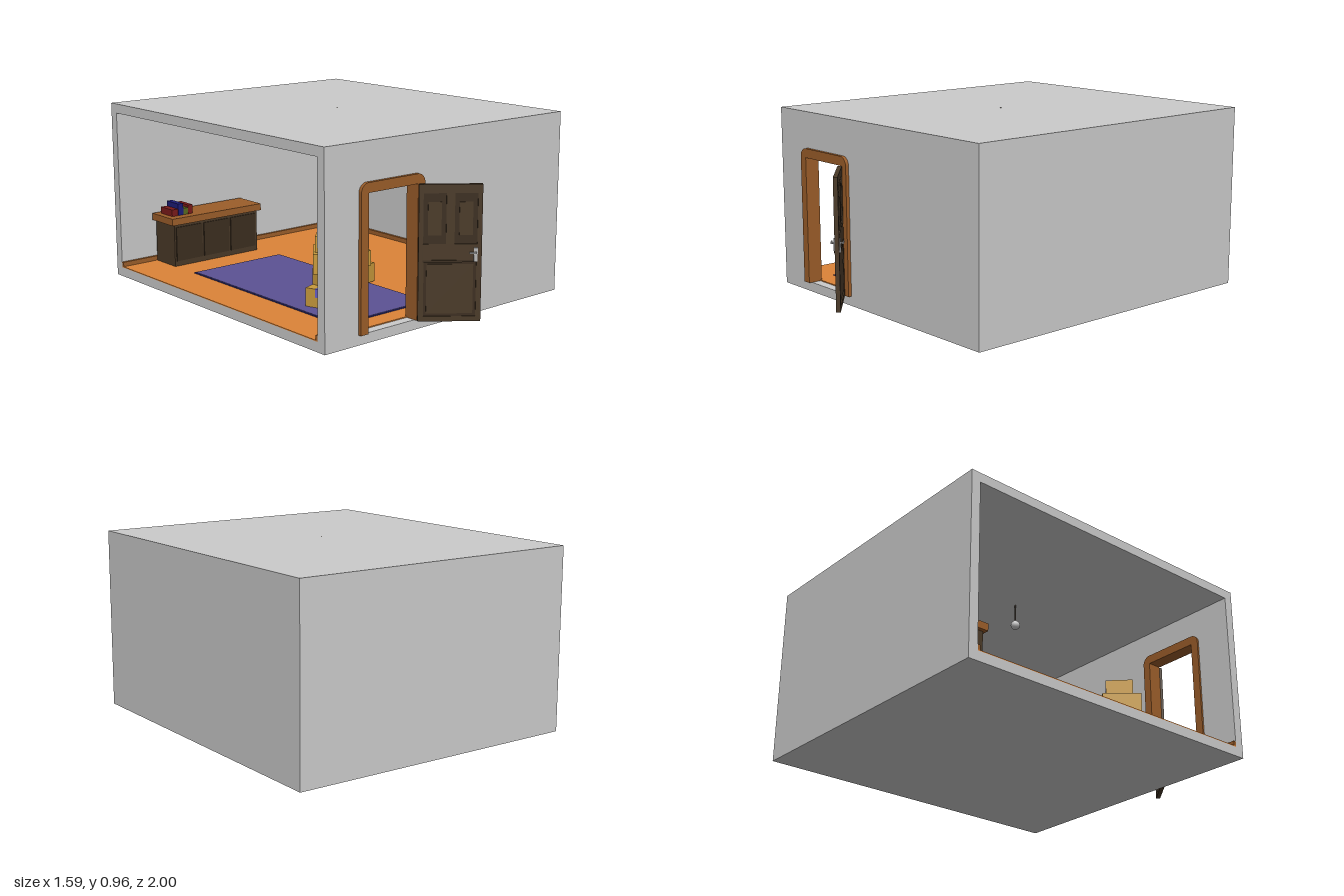
import * as THREE from 'three';

const mat = (color) => new THREE.MeshStandardMaterial({ color });
const M = {
  wall: mat(0xcccccc), floor: mat(0xdc8438), wood: mat(0x9c5e2a), door: mat(0x4a3a28), dark: mat(0x3c2e20),
  rug: mat(0x5c5294), rugEdge: mat(0x2c2a78), card: mat(0xc89a3c), tape: mat(0x6660cc), metal: mat(0xb8b8b8),
  red: mat(0x7a1a1a), blue: mat(0x1c1c78), green: mat(0x5a6a20),
};

// Box given by its minimum and maximum corners
function block(parent, name, material, [x0, y0, z0], [x1, y1, z1]) {
  const mesh = new THREE.Mesh(new THREE.BoxGeometry(x1 - x0, y1 - y0, z1 - z0), material);
  mesh.position.set((x0 + x1) / 2, (y0 + y1) / 2, (z0 + z1) / 2);
  mesh.name = name;
  parent.add(mesh);
  return mesh;
}

function rect(path, x0, y0, x1, y1) {
  path.moveTo(x0, y0);
  path.lineTo(x1, y0);
  path.lineTo(x1, y1);
  path.lineTo(x0, y1);
  path.closePath();
  return path;
}

function extrude(parent, name, material, shape, z0, depth) {
  const mesh = new THREE.Mesh(new THREE.ExtrudeGeometry(shape, { depth, bevelEnabled: false, curveSegments: 6 }), material);
  mesh.position.z = z0;
  mesh.name = name;
  parent.add(mesh);
}

// Cardboard box with a tape strip over the top and partly down two sides
function carton(parent, [x, y, z], [w, h, d], yaw, acrossX = false) {
  const g = new THREE.Group();
  g.name = 'cardboardBox';
  g.position.set(x, y, z);
  g.rotation.y = yaw;
  block(g, 'carton', M.card, [-w / 2, 0, -d / 2], [w / 2, h, d / 2]);
  const e = 0.0015, t = 0.019, drop = h * 0.55;
  if (acrossX) block(g, 'tape', M.tape, [-w / 2 - e, drop, -t], [w / 2 + e, h + e, t]);
  else block(g, 'tape', M.tape, [-t, drop, -d / 2 - e], [t, h + e, d / 2 + e]);
  parent.add(g);
}

function buildRoom() {
  const g = new THREE.Group();
  g.name = 'room';
  const X = 0.795, H = 0.955, T = 0.05, B = -1, F = 0.78;
  block(g, 'base', M.wall, [-X, 0, B], [X, T, F]);
  block(g, 'roof', M.wall, [-X, H - T, B], [X, H, F]);
  block(g, 'backWall', M.wall, [-X, T, B], [X, H - T, B + T]);
  block(g, 'leftWall', M.wall, [X - T, T, B + T], [X, H - T, F - T]);
  // front wall with a doorway cut down to the floor
  const wall = new THREE.Shape();
  [[-X, T], [-0.57, T], [-0.57, 0.74], [-0.21, 0.74], [-0.21, T], [X, T], [X, H - T], [-X, H - T]]
    .forEach(([x, y], i) => (i ? wall.lineTo(x, y) : wall.moveTo(x, y)));
  extrude(g, 'frontWall', M.wall, wall, F - T, T);
  block(g, 'floor', M.floor, [-X, T, B + T], [X - T, T + 0.005, F - T]);

  // skirting boards
  const s0 = T + 0.005, s1 = 0.08, w = 0.015;
  block(g, 'skirting', M.wood, [-X, s0, F - T - w], [-0.59, s1, F - T]);
  block(g, 'skirting', M.wood, [-0.19, s0, F - T - w], [X - T, s1, F - T]);
  block(g, 'skirting', M.wood, [-X, s0, B + T], [X - T, s1, B + T + w]);
  block(g, 'skirting', M.wood, [X - T - w, s0, B + T + w], [X - T, s1, F - T - w]);

  // rug
  block(g, 'rugBorder', M.rugEdge, [-0.575, s0, -0.575], [0.005, s0 + 0.004, 0.625]);
  block(g, 'rug', M.rug, [-0.568, s0, -0.568], [-0.002, s0 + 0.006, 0.618]);
  return g;
}

// Door surround with rounded outer top corners
function buildFrame(parent) {
  const l = -0.592, r = -0.192, b = 0.05, t = 0.766, R = 0.045, k = 0.045;
  const s = new THREE.Shape();
  s.moveTo(l, b);
  s.lineTo(l + k, b);
  s.lineTo(l + k, t - 0.048);
  s.lineTo(r - k, t - 0.048);
  s.lineTo(r - k, b);
  s.lineTo(r, b);
  s.lineTo(r, t - R);
  s.absarc(r - R, t - R, R, 0, Math.PI / 2);
  s.lineTo(l + R, t);
  s.absarc(l + R, t - R, R, Math.PI / 2, Math.PI);
  s.closePath();
  extrude(parent, 'doorFrame', M.wood, s, 0.72, 0.078);
}

// Open panelled door, hinged at its own origin
function buildDoor() {
  const g = new THREE.Group();
  g.name = 'door';
  const W = 0.3, y0 = 0.05, y1 = 0.717, t = 0.011;
  const panels = [[0.022, 0.43, 0.13, 0.675], [0.17, 0.43, 0.278, 0.675], [0.025, 0.075, 0.275, 0.345]];
  const leaf = rect(new THREE.Shape(), 0, y0, W, y1);
  panels.forEach((p) => leaf.holes.push(rect(new THREE.Path(), ...p)));
  extrude(g, 'doorLeaf', M.door, leaf, -t, 2 * t);
  panels.forEach(([a, b, c, d], i) => {
    block(g, 'recessedPanel', M.dark, [a, b, -0.005], [c, d, 0.005]);
    const mx = i < 2 ? 0.022 : 0.014, my = i < 2 ? 0.042 : 0.014;
    block(g, 'raisedPanel', M.door, [a + mx, b + my, -0.009], [c - mx, d - my, 0.009]);
  });
  block(g, 'middleLedge', M.dark, [0.02, 0.342, -t - 0.004], [0.28, 0.352, t + 0.004]);
  // handles on both faces
  for (const s of [-1, 1]) {
    const z = s * (t + 0.003);
    const plate = block(g, 'handlePlate', M.metal, [0.262, 0.345, -0.003], [0.28, 0.412, 0.003]);
    plate.position.z = z;
    const stem = new THREE.Mesh(new THREE.CylinderGeometry(0.004, 0.004, 0.016, 10), M.metal);
    stem.rotation.x = Math.PI / 2;
    stem.position.set(0.271, 0.39, s * (t + 0.01));
    stem.name = 'handleStem';
    g.add(stem);
    const lever = block(g, 'handleLever', M.metal, [0.24, 0.386, -0.003], [0.275, 0.394, 0.003]);
    lever.position.z = s * (t + 0.018);
  }
  g.position.set(-0.237, 0, 0.802);
  g.rotation.y = -0.68;
  return g;
}

// Low cabinet with books against the back wall
function buildCabinet() {
  const g = new THREE.Group();
  g.name = 'cabinet';
  block(g, 'cabinetBody', M.door, [-0.58, 0.056, -0.93], [-0.02, 0.29, -0.75]);
  block(g, 'cabinetTop', M.wood, [-0.6, 0.29, -0.935], [0, 0.328, -0.735]);
  for (let i = 0; i < 3; i++) {
    const x = -0.57 + i * 0.182;
    block(g, 'cabinetDoor', M.dark, [x, 0.085, -0.75], [x + 0.17, 0.275, -0.744]);
  }
  [[0.04, 0.037, M.red], [0.035, 0.065, M.blue], [0.03, 0.036, M.green], [0.03, 0.05, M.red]].reduce((x, [w, h, m]) => {
    block(g, 'book', m, [x, 0.328, -0.9], [x + w - 0.002, 0.328 + h, -0.79]);
    return x + w;
  }, -0.565);
  return g;
}

// Hanging lamp whose cord end just pierces the roof
function buildLamp() {
  const g = new THREE.Group();
  g.name = 'ceilingLamp';
  const cord = new THREE.Mesh(new THREE.CylinderGeometry(0.004, 0.004, 0.157, 8), M.dark);
  cord.position.y = 0.878;
  cord.name = 'lampCord';
  const bulb = new THREE.Mesh(new THREE.SphereGeometry(0.025, 16, 12), M.wall);
  bulb.position.y = 0.785;
  bulb.name = 'lampBulb';
  g.add(cord, bulb);
  g.position.set(0, 0, -0.06);
  return g;
}

export function createModel() {
  const model = new THREE.Group();
  model.name = 'roomWithBoxes';
  model.add(buildRoom(), buildDoor(), buildCabinet(), buildLamp());
  buildFrame(model);

  // stack of boxes behind the doorway
  carton(model, [-0.382, 0.06, 0.33], [0.22, 0.095, 0.15], 0.33, true);
  carton(model, [-0.382, 0.155, 0.33], [0.12, 0.08, 0.13], 0.03);
  carton(model, [-0.385, 0.235, 0.33], [0.16, 0.1, 0.2], -0.7);
  carton(model, [-0.378, 0.335, 0.33], [0.14, 0.08, 0.14], 0.78, true);

  // further boxes deeper in the room
  carton(model, [-0.05, 0.06, 0.12], [0.17, 0.1, 0.16], 0.2);
  carton(model, [-0.04, 0.16, 0.13], [0.13, 0.08, 0.13], -0.4, true);
  carton(model, [0.2, 0.055, 0.57], [0.16, 0.1, 0.15], -0.2);
  return model;
}
